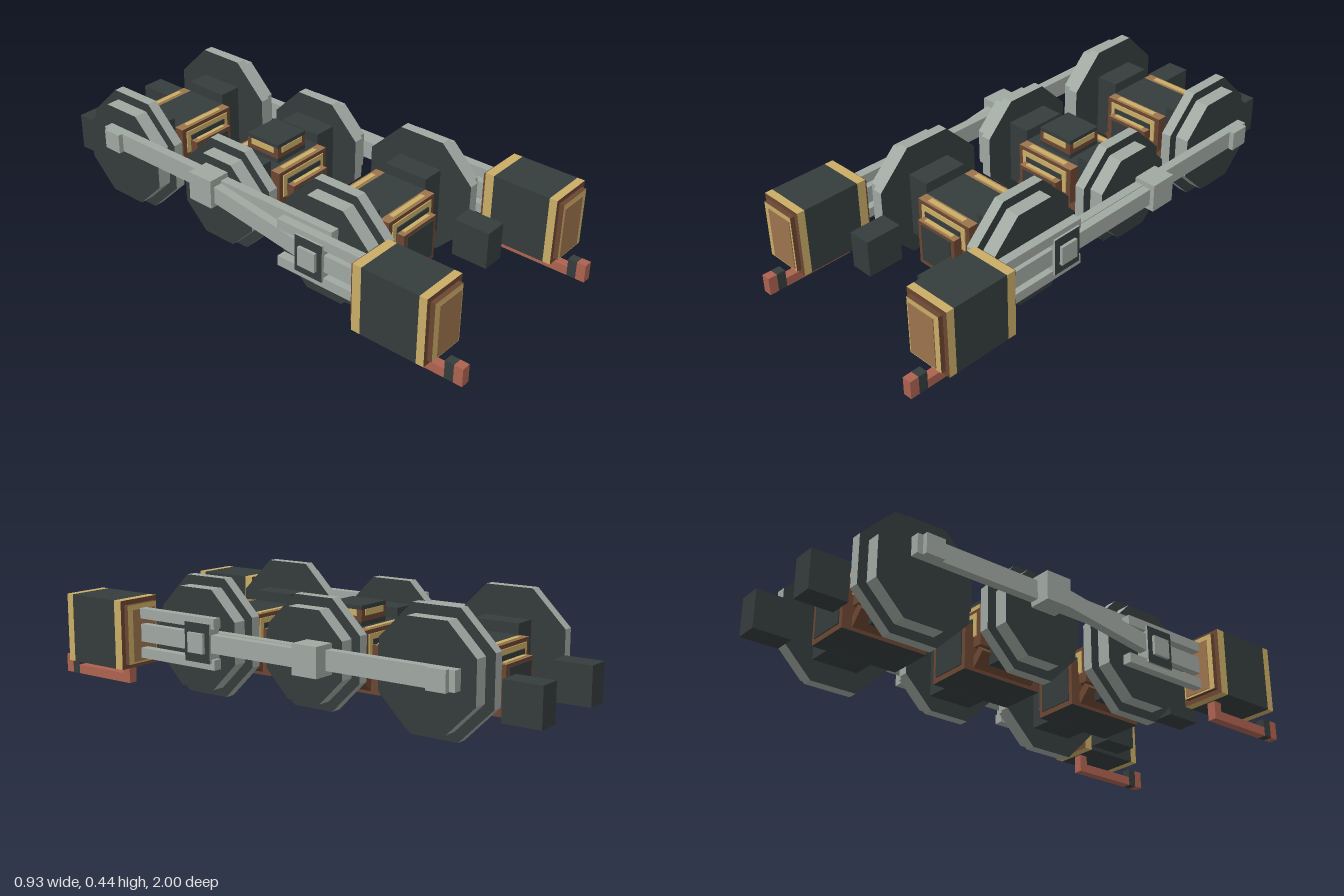
import * as THREE from 'three';

const mat = (name, color) => {
  const m = new THREE.MeshStandardMaterial({ color });
  m.name = name;
  return m;
};

export function createModel() {
  const root = new THREE.Group();
  root.name = 'locomotiveRunningGear';
  const dark = mat('dark iron', 0x353c3c);
  const steel = mat('steel', 0xa0a8a2);
  const brown = mat('brown trim', 0x6b4632);
  const copper = mat('copper', 0x9c734d);
  const gold = mat('brass', 0xcaad66);
  const red = mat('red pipe', 0xad6250);

  // box given by its min and max corners
  const box = (parent, name, material, [x0, x1], [y0, y1], [z0, z1]) => {
    const geo = new THREE.BoxGeometry(Math.abs(x1 - x0), y1 - y0, z1 - z0);
    const mesh = new THREE.Mesh(geo, material);
    mesh.position.set((x0 + x1) / 2, (y0 + y1) / 2, (z0 + z1) / 2);
    mesh.name = name;
    parent.add(mesh);
    return mesh;
  };
  const group = (name, parent = root) => {
    const g = new THREE.Group();
    g.name = name;
    parent.add(g);
    return g;
  };

  // eight-sided disc across the x axis: steel rim, dark faces
  const disc = (parent, name, apothem, x0, x1, z) => {
    const r = apothem / Math.cos(Math.PI / 8);
    const geo = new THREE.CylinderGeometry(r, r, x1 - x0, 8, 1, false, Math.PI / 8);
    geo.rotateZ(Math.PI / 2);
    const mesh = new THREE.Mesh(geo.toNonIndexed(), [steel, dark, dark]);
    mesh.geometry.computeVertexNormals();
    mesh.position.set((x0 + x1) / 2, 0.223, z);
    mesh.name = name;
    parent.add(mesh);
  };

  const axles = [0.37, -0.13, -0.63];

  // wheels, axle boxes and the motor housing of each axle
  axles.forEach((z, i) => {
    const set = group('wheelSet' + (i + 1));
    const a = i === 1 ? 0.2 : 0.222;
    for (const s of [-1, 1]) {
      const [f0, f1] = s > 0 ? [0.22, 0.26] : [-0.26, -0.22];
      const [t0, t1] = s > 0 ? [0.26, 0.315] : [-0.315, -0.26];
      disc(set, 'wheelFlange', a, f0, f1, z);
      disc(set, 'wheelTread', a - 0.035, t0, t1, z);
      box(set, 'axleBox', dark, [s * 0.13, s * 0.22], [0.08, 0.335], [z - 0.09, z + 0.09]);
      // sloping braces under the housing
      const brace = box(set, 'brace', brown, [-0.035, 0.035], [-0.016, 0.016], [z - 0.13, z + 0.13]);
      brace.position.set(s * 0.108, 0.108, z);
      brace.rotation.z = s * Math.PI / 4;
    }
    box(set, 'axleHousing', dark, [-0.13, 0.13], [0.15, 0.295], [z - 0.09, z + 0.09]);
    box(set, 'motorCore', [brown, brown, copper, dark, brown, brown],
      [-0.092, 0.092], [0.06, 0.24], [z - 0.168, z + 0.168]);
    for (const s of [-1, 1]) {
      const span = (p, q) => [Math.min(z + s * p, z + s * q), Math.max(z + s * p, z + s * q)];
      box(set, 'housingEnd', [brown, brown, copper, brown, brown, brown],
        [-0.13, 0.13], [0.15, 0.295], span(0.09, 0.13));
      box(set, 'brassPanel', gold, [-0.11, 0.11], [0.19, 0.28], span(0.13, 0.134));
      box(set, 'darkSlot', dark, [-0.09, 0.09], [0.24, 0.26], span(0.13, 0.138));
      box(set, 'housingTopStrip', gold, [-0.09, 0.09], [0.295, 0.299], span(0.1, 0.12));
      box(set, 'coreTopStrip', gold, [-0.07, 0.07], [0.24, 0.244], span(0.142, 0.158));
      box(set, 'corePanel', dark, [-0.074, 0.074], [0.08, 0.228], span(0.168, 0.172));
    }
  });

  // pivot block over the middle axle
  const pivot = group('pivot');
  box(pivot, 'pivotBase', dark, [-0.075, 0.075], [0.29, 0.312], [-0.205, -0.055]);
  box(pivot, 'pivotBand', brown, [-0.075, 0.075], [0.312, 0.355], [-0.205, -0.055]);
  box(pivot, 'pivotCap', dark, [-0.075, 0.075], [0.355, 0.37], [-0.205, -0.055]);
  for (const z of [-0.206, -0.054]) {
    box(pivot, 'pivotInlay', gold, [-0.055, 0.055], [0.332, 0.355], [z - 0.002, z + 0.002]);
  }
  for (const x of [-0.076, 0.076]) {
    box(pivot, 'pivotInlay', gold, [x - 0.002, x + 0.002], [0.332, 0.355], [-0.185, -0.075]);
  }

  for (const s of [-1, 1]) {
    const side = group(s > 0 ? 'leftSide' : 'rightSide');
    const xs = (p, q) => [s * p, s * q];

    // frame ends
    box(side, 'frontFrameEnd', dark, xs(0.13, 0.22), [0.08, 0.225], [0.59, 0.735]);
    box(side, 'rearFrameEnd', dark, xs(0.13, 0.22), [0.08, 0.225], [-1, -0.855]);

    // steam cylinder with trimmed covers
    box(side, 'cylinder', dark, xs(0.28, 0.463), [0.095, 0.355], [0.645, 0.87]);
    const rim = [gold, gold, gold, gold, brown, brown];
    const lid = [brown, brown, brown, brown, gold, gold];
    box(side, 'frontCoverRim', rim, xs(0.28, 0.463), [0.095, 0.355], [0.87, 0.9]);
    box(side, 'rearCoverRim', rim, xs(0.28, 0.463), [0.095, 0.355], [0.61, 0.645]);
    box(side, 'frontCover', lid, xs(0.298, 0.445), [0.113, 0.337], [0.9, 0.918]);
    box(side, 'rearCover', lid, xs(0.298, 0.445), [0.113, 0.337], [0.592, 0.61]);
    box(side, 'frontCoverPanel', copper, xs(0.306, 0.422), [0.12, 0.318], [0.918, 0.921]);
    box(side, 'rearCoverPanel', copper, xs(0.306, 0.422), [0.12, 0.318], [0.589, 0.592]);

    // drain pipe
    box(side, 'drainPipeRear', red, xs(0.355, 0.39), [0.025, 0.095], [0.65, 0.685]);
    box(side, 'drainPipe', red, xs(0.355, 0.39), [0.025, 0.06], [0.685, 0.93]);
    box(side, 'drainPipeBand', dark, xs(0.355, 0.39), [0.025, 0.095], [0.93, 0.965]);
    box(side, 'drainPipeTip', red, xs(0.355, 0.39), [0.025, 0.095], [0.965, 1]);

    // cranks stand a quarter turn apart on the two sides
    const dz = s > 0 ? -0.07 : 0;
    const py = s > 0 ? 0.227 : 0.3;
    box(side, 'couplingRod', steel, xs(0.315, 0.35), [py - 0.036, py + 0.036], [-0.69 + dz, 0.43 + dz]);
    box(side, 'rearCrankPin', steel, xs(0.35, 0.37), [py - 0.038, py + 0.038], [-0.668 + dz, -0.592 + dz]);
    box(side, 'mainCrankPin', steel, xs(0.315, 0.402), [py - 0.055, py + 0.055], [-0.183 + dz, -0.077 + dz]);

    // main rod from the middle crank to the crosshead
    const cz = 0.365 + dz, cy = 0.227;
    const rise = py - cy, run = cz - (-0.13 + dz);
    const rod = box(side, 'mainRod', steel, xs(0.35, 0.385), [-0.033, 0.033],
      [-Math.hypot(rise, run) / 2, Math.hypot(rise, run) / 2]);
    rod.position.set(s * 0.367, (py + cy) / 2, cz - run / 2);
    rod.rotation.x = Math.atan2(rise, run);

    // crosshead, its guide bars and the piston rod
    box(side, 'crosshead', [dark, dark, steel, steel, steel, steel],
      xs(0.34, 0.393), [0.155, 0.3], [cz - 0.06, cz + 0.06]);
    box(side, 'crossheadPin', steel, xs(0.393, 0.405), [0.19, 0.264], [cz - 0.037, cz + 0.037]);
    box(side, 'pistonRod', steel, xs(0.352, 0.382), [0.194, 0.26], [cz, 0.6]);
    box(side, 'upperGuideBar', steel, xs(0.35, 0.385), [0.282, 0.32], [0.22, 0.6]);
    box(side, 'lowerGuideBar', steel, xs(0.35, 0.385), [0.132, 0.17], [0.22, 0.6]);
  }
  return root;
}
